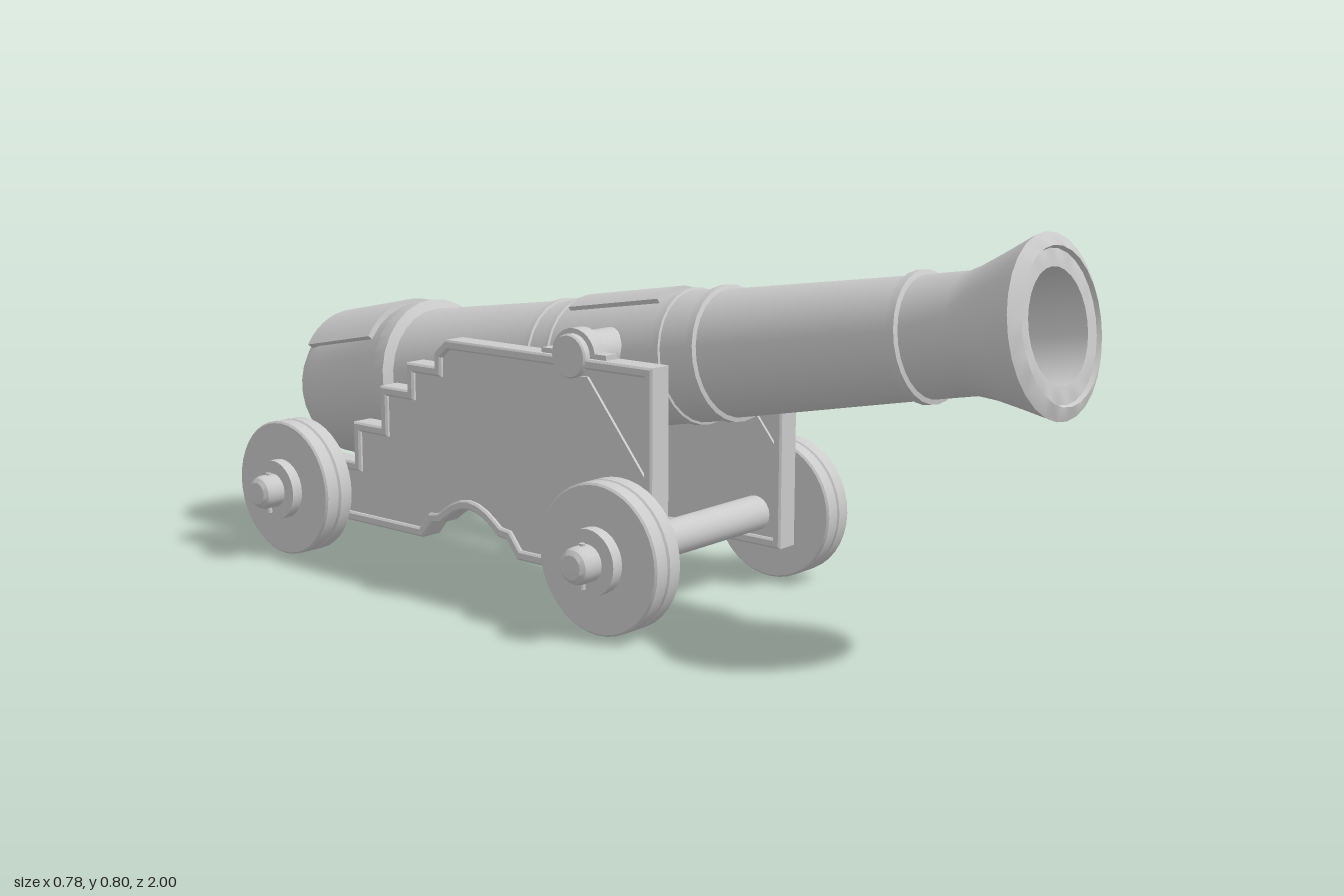
import * as THREE from 'three';
import { toCreasedNormals } from 'three/addons/utils/BufferGeometryUtils.js';

const material = new THREE.MeshStandardMaterial({ color: 0xcccccc });

function add(parent, name, geometry, crease = 0.5) {
  const mesh = new THREE.Mesh(toCreasedNormals(geometry, crease), material);
  mesh.name = name;
  parent.add(mesh);
  return mesh;
}

const lathe = (pairs, sides) =>
  new THREE.LatheGeometry(pairs.map(([r, s]) => new THREE.Vector2(r, s)), sides);

// Turned part lying along x
const latheX = (pairs, sides) => lathe(pairs, sides).rotateZ(-Math.PI / 2);

// Side-on outline (z, y) extruded along x, centred on x
function slab(outline, hole, x, width, bevel = 0) {
  const shape = new THREE.Shape(outline.map(([z, y]) => new THREE.Vector2(z, y)));
  if (hole) shape.holes.push(new THREE.Path(hole.map(([z, y]) => new THREE.Vector2(z, y))));
  const depth = width - 2 * bevel;
  return new THREE.ExtrudeGeometry(shape, {
    depth, bevelEnabled: bevel > 0, bevelSize: bevel, bevelThickness: bevel,
    bevelOffset: -bevel, bevelSegments: 1,
  }).rotateY(-Math.PI / 2).translate(x + depth / 2, 0, 0);
}

// Mitred inward offset of a counter-clockwise outline
function inset(points, distance) {
  const normal = (a, b) => {
    const length = Math.hypot(b[0] - a[0], b[1] - a[1]);
    return [(a[1] - b[1]) / length, (b[0] - a[0]) / length];
  };
  return points.map((p, i) => {
    const n = normal(points[(i + points.length - 1) % points.length], p);
    const m = normal(p, points[(i + 1) % points.length]);
    const k = distance / (1 + n[0] * m[0] + n[1] * m[1]);
    return [p[0] + (n[0] + m[0]) * k, p[1] + (n[1] + m[1]) * k];
  });
}

// Raised plate wrapped over the top of the barrel
function wrappedPlate(s0, s1, r0, r1, angle, thickness) {
  const geometry = new THREE.BoxGeometry(2 * angle, s1 - s0, thickness, 14, 2, 1);
  const p = geometry.attributes.position;
  for (let i = 0; i < p.count; i++) {
    const t = p.getY(i) / (s1 - s0) + 0.5;
    const r = r0 + (r1 - r0) * t + p.getZ(i);
    const a = Math.PI + p.getX(i);
    p.setXYZ(i, r * Math.sin(a), s0 + (s1 - s0) * t, r * Math.cos(a));
  }
  return geometry;
}

function buildBarrel() {
  const barrel = new THREE.Group();
  barrel.name = 'barrel';
  barrel.position.y = 0.478;
  barrel.rotation.x = THREE.MathUtils.degToRad(80.4);

  // Outer wall from breech to muzzle, then back down the bore
  add(barrel, 'barrelBody', lathe([
    [0, -0.94], [0.06, -0.936], [0.105, -0.925], [0.138, -0.905], [0.16, -0.872], [0.168, -0.83],
    [0.173, -0.62], [0.178, -0.61], [0.178, -0.575], [0.156, -0.565],
    [0.14, -0.13], [0.133, 0.2], [0.127, 0.28], [0.114, 0.72], [0.112, 0.82],
    [0.122, 0.86], [0.14, 0.91], [0.165, 0.975], [0.14, 0.988], [0.136, 0.98],
    [0.104, 0.98], [0.104, 0.1], [0, 0.1],
  ], 28));

  // Moulded bands
  [[-0.17, 0.146], [-0.115, 0.144], [0.18, 0.138], [0.265, 0.136], [0.715, 0.123]].forEach(([s, r]) =>
    add(barrel, 'barrelBand', lathe([
      [r - 0.015, s - 0.013], [r, s - 0.008], [r, s + 0.008], [r - 0.015, s + 0.013],
    ], 28)));

  add(barrel, 'breechPlate', wrappedPlate(-0.86, -0.64, 0.167, 0.174, 0.9, 0.022));
  add(barrel, 'upperPlate', wrappedPlate(-0.09, 0.15, 0.138, 0.134, 0.52, 0.02));

  // Rear button
  add(barrel, 'rearKnob', lathe([
    [0.055, -0.93], [0.052, -0.945], [0.028, -0.952], [0.014, -0.96], [0.012, -0.985],
  ].reverse(), 20));
  add(barrel, 'knobBall', new THREE.SphereGeometry(0.029, 20, 14).translate(0, -0.99, 0));
  return barrel;
}

// Stepped side of the carriage with a scalloped lower edge
function cheekOutline() {
  const points = [
    [0.25, 0.085], [0.25, 0.52], [-0.31, 0.52], [-0.345, 0.49], [-0.345, 0.46],
    [-0.43, 0.46], [-0.43, 0.4], [-0.515, 0.4], [-0.515, 0.31], [-0.605, 0.31],
    [-0.605, 0.22], [-0.83, 0.22], [-0.83, 0.085], [-0.39, 0.085], [-0.36, 0.122],
  ];
  for (let i = 0; i <= 8; i++) {
    const t = i / 8;
    points.push([-0.335 + 0.17 * t, 0.125 + 0.042 * Math.sin(Math.PI * t)]);
  }
  points.push([-0.14, 0.122], [-0.11, 0.085]);
  return points;
}

const TRUNNION = { z: 0.04, y: 0.522 };

function buildCheek(side) {
  const cheek = new THREE.Group();
  cheek.name = side > 0 ? 'leftCheek' : 'rightCheek';
  const outline = cheekOutline();
  add(cheek, 'cheekPanel', slab(inset(outline, 0.006), null, side * 0.208, 0.038));
  add(cheek, 'cheekRim', slab(outline, inset(outline, 0.02), side * 0.208, 0.056, 0.004));

  // Diagonal rib at the front corner
  add(cheek, 'cheekRib', slab(
    [[0.24, 0.265], [0.24, 0.295], [0.085, 0.485], [0.065, 0.485]], null, side * 0.208, 0.05));

  // Arched strap holding the trunnion
  const arch = [[0.085, 0], [0.085, 0.012], [0.056, 0.012]];
  for (let i = 1; i < 12; i++) {
    const a = 0.2 + (Math.PI - 0.4) * (i / 12);
    arch.push([0.058 * Math.cos(a), 0.058 * Math.sin(a)]);
  }
  arch.push([-0.056, 0.012], [-0.085, 0.012], [-0.085, 0]);
  add(cheek, 'trunnionStrap', slab(
    arch.map(([z, y]) => [z + TRUNNION.z, y + TRUNNION.y - 0.004]), null, side * 0.207, 0.032));
  return cheek;
}

function buildWheel(side, z) {
  const wheel = new THREE.Group();
  wheel.name = (z > 0 ? 'front' : 'rear') + (side > 0 ? 'LeftWheel' : 'RightWheel');
  wheel.position.set(0, 0.152, z);
  wheel.rotation.y = side > 0 ? 0 : Math.PI;

  // Two-ply disc with a groove round the tread
  add(wheel, 'wheelDisc', latheX([
    [0.03, 0.241], [0.146, 0.241], [0.15, 0.245], [0.15, 0.274], [0.146, 0.278],
    [0.15, 0.282], [0.15, 0.311], [0.146, 0.315], [0.03, 0.315],
  ], 40));
  add(wheel, 'wheelHub', latheX([
    [0.066, 0.312], [0.066, 0.34], [0.03, 0.34],
  ], 28));
  add(wheel, 'axleEnd', latheX([
    [0.037, 0.23], [0.037, 0.37], [0.033, 0.381], [0.024, 0.388], [0, 0.389],
  ], 20));
  add(wheel, 'linchPin', new THREE.CylinderGeometry(0.006, 0.006, 0.09, 10).translate(0.354, -0.004, 0));
  return wheel;
}

export function createModel() {
  const model = new THREE.Group();
  model.name = 'cannon';
  model.add(buildBarrel());

  add(model, 'trunnion', latheX([
    [0, -0.24], [0.041, -0.24], [0.044, -0.236], [0.044, 0.236], [0.041, 0.24], [0, 0.24],
  ], 24).translate(0, TRUNNION.y, TRUNNION.z));

  for (const side of [-1, 1]) model.add(buildCheek(side));

  for (const z of [0.18, -0.755]) {
    add(model, z > 0 ? 'frontAxle' : 'rearAxle',
      new THREE.CylinderGeometry(0.037, 0.037, 0.48, 20).rotateZ(Math.PI / 2).translate(0, 0.152, z));
    for (const side of [-1, 1]) model.add(buildWheel(side, z));
  }
  return model;
}
